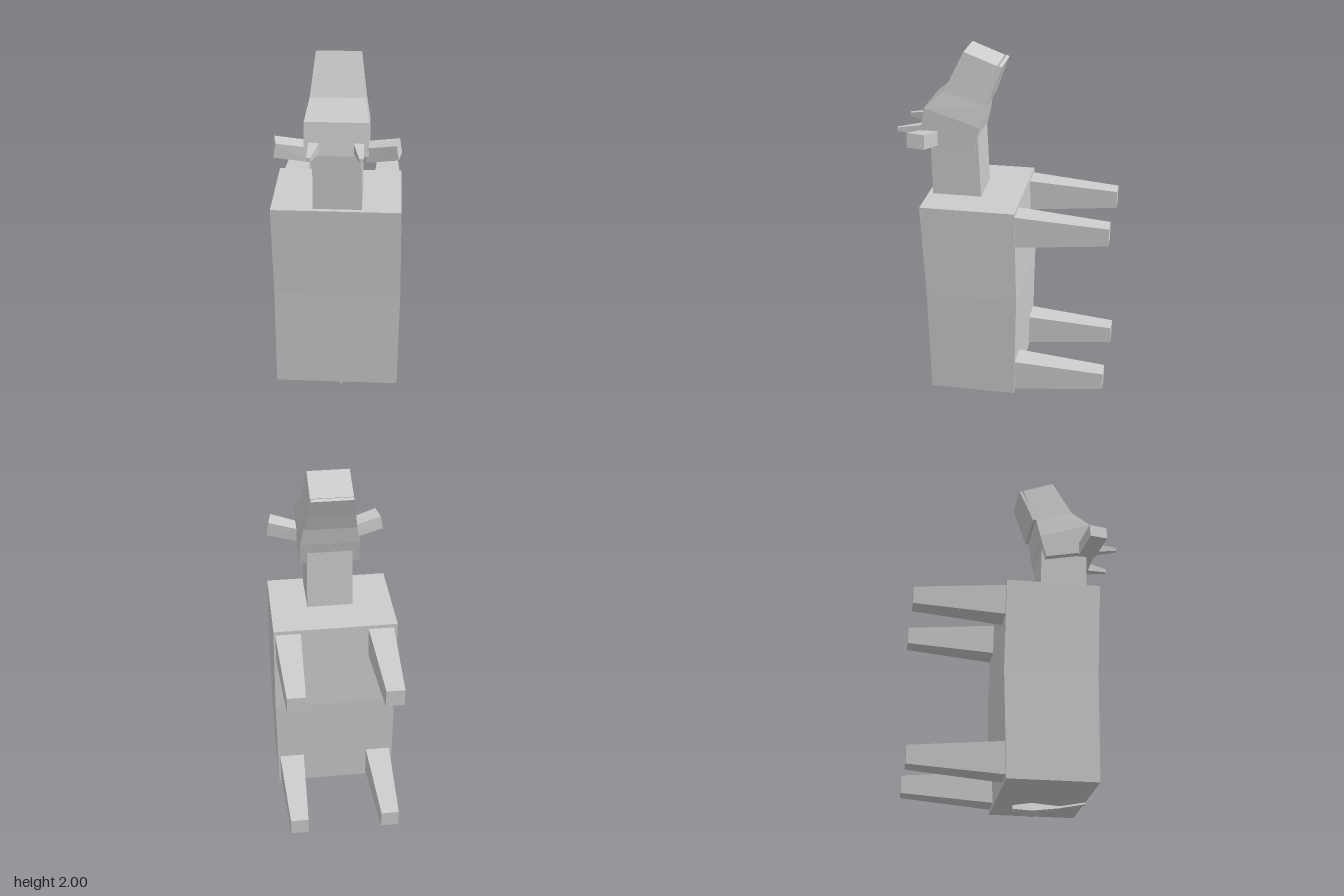
import * as THREE from 'three';

// Closed four-sided loft through sections of four [x, y, z] corners, faces turned outward
function loft(sections) {
  const n = sections.length, tris = [];
  const quad = (a, b, c, d) => tris.push([a, b, c], [a, c, d]);
  for (let i = 0; i < n - 1; i++) {
    for (let k = 0; k < 4; k++) {
      const j = (k + 1) % 4;
      quad(sections[i][k], sections[i][j], sections[i + 1][j], sections[i + 1][k]);
    }
  }
  quad(...[...sections[0]].reverse());
  quad(...sections[n - 1]);
  const v = (p) => new THREE.Vector3(...p);
  const volume = tris.reduce((s, [a, b, c]) => s + v(a).dot(v(b).cross(v(c))), 0);
  const points = tris.flatMap(([a, b, c]) => (volume < 0 ? [a, c, b] : [a, b, c]));
  const g = new THREE.BufferGeometry();
  g.setAttribute('position', new THREE.Float32BufferAttribute(points.flat(), 3));
  g.computeVertexNormals();
  return g;
}

// Level section, upright section, and a section tilted between a front and a back [z, y] point
const level = (y, x0, x1, z0, z1) => [[x0, y, z0], [x1, y, z0], [x1, y, z1], [x0, y, z1]];
const upright = (z, x0, x1, y0, y1) => [[x0, y0, z], [x1, y0, z], [x1, y1, z], [x0, y1, z]];
const tilted = (w, [zf, yf], [zb, yb], wb = w) =>
  [[-w, yf, zf], [w, yf, zf], [wb, yb, zb], [-wb, yb, zb]];
const mirrored = (sections, side) => sections.map((s) => s.map(([x, y, z]) => [x * side, y, z]));

export function createModel() {
  const model = new THREE.Group();
  const hide = new THREE.MeshStandardMaterial({ color: 0xcccccc, name: 'light grey' });
  const add = (name, sections) => {
    const mesh = new THREE.Mesh(loft(sections), hide);
    mesh.name = name;
    model.add(mesh);
  };

  // Upright body and neck
  add('body', [
    level(0.085, -0.345, 0.338, -0.087, 0.39),
    level(0.68, -0.343, 0.343, -0.1, 0.402),
    level(1.2, -0.348, 0.336, -0.087, 0.428),
  ]);
  add('neck', [
    level(1.19, -0.127, 0.13, 0.133, 0.402),
    level(1.6, -0.125, 0.125, 0.15, 0.41),
  ]);

  // Head, from the crown up to the muzzle
  add('head', [
    tilted(0.163, [0.46, 1.53], [0.165, 1.47]),
    tilted(0.163, [0.43, 1.7], [0.133, 1.605]),
    tilted(0.14, [0.325, 1.79], [0.113, 1.72], 0.143),
    tilted(0.114, [0.22, 2.0], [0.042, 1.932]),
  ]);
  // Lower jaw, opening slightly at the tip
  add('jaw', [
    tilted(0.14, [0.12, 1.725], [0.095, 1.718]),
    tilted(0.127, [0.074, 1.835], [0.057, 1.825]),
    tilted(0.113, [0.034, 1.934], [0.018, 1.926]),
  ]);

  for (const side of [1, -1]) {
    const label = side > 0 ? 'left' : 'right';

    // Legs pointing backwards
    for (const [name, y] of [['FrontLeg', 1.09], ['HindLeg', 0.198]]) {
      add(label + name, mirrored([
        upright(-0.08, 0.187, 0.328, y - 0.088, y + 0.089),
        upright(-0.585, 0.207, 0.306, y - 0.048, y + 0.05),
      ], side));
    }

    // Ears, tilted up and forward
    add(label + 'Ear', mirrored([
      [[0.15, 1.493, 0.357], [0.15, 1.493, 0.452], [0.15, 1.572, 0.452], [0.15, 1.572, 0.357]],
      [[0.33, 1.528, 0.39], [0.313, 1.528, 0.49], [0.3, 1.605, 0.49], [0.317, 1.605, 0.39]],
    ], side));

    // Horns
    add(label + 'Horn', mirrored([
      upright(0.44, 0.085, 0.14, 1.538, 1.597),
      upright(0.585, 0.12, 0.14, 1.553, 1.574),
    ], side));
  }

  // Tail with a wider tuft, turned a little about its length
  const ring = (z, x, y, r) => [0.35, 1.92, 3.49, 5.06].map(
    (a) => [x + r * Math.cos(a), y + r * Math.sin(a), z]);
  add('tail', [
    ring(0.388, 0.02, 0.076, 0.009),
    ring(0.25, 0.032, 0.052, 0.01),
    ring(0.1, 0.042, 0.038, 0.038),
    ring(0, 0.04, 0.042, 0.018),
  ]);

  return model;
}
